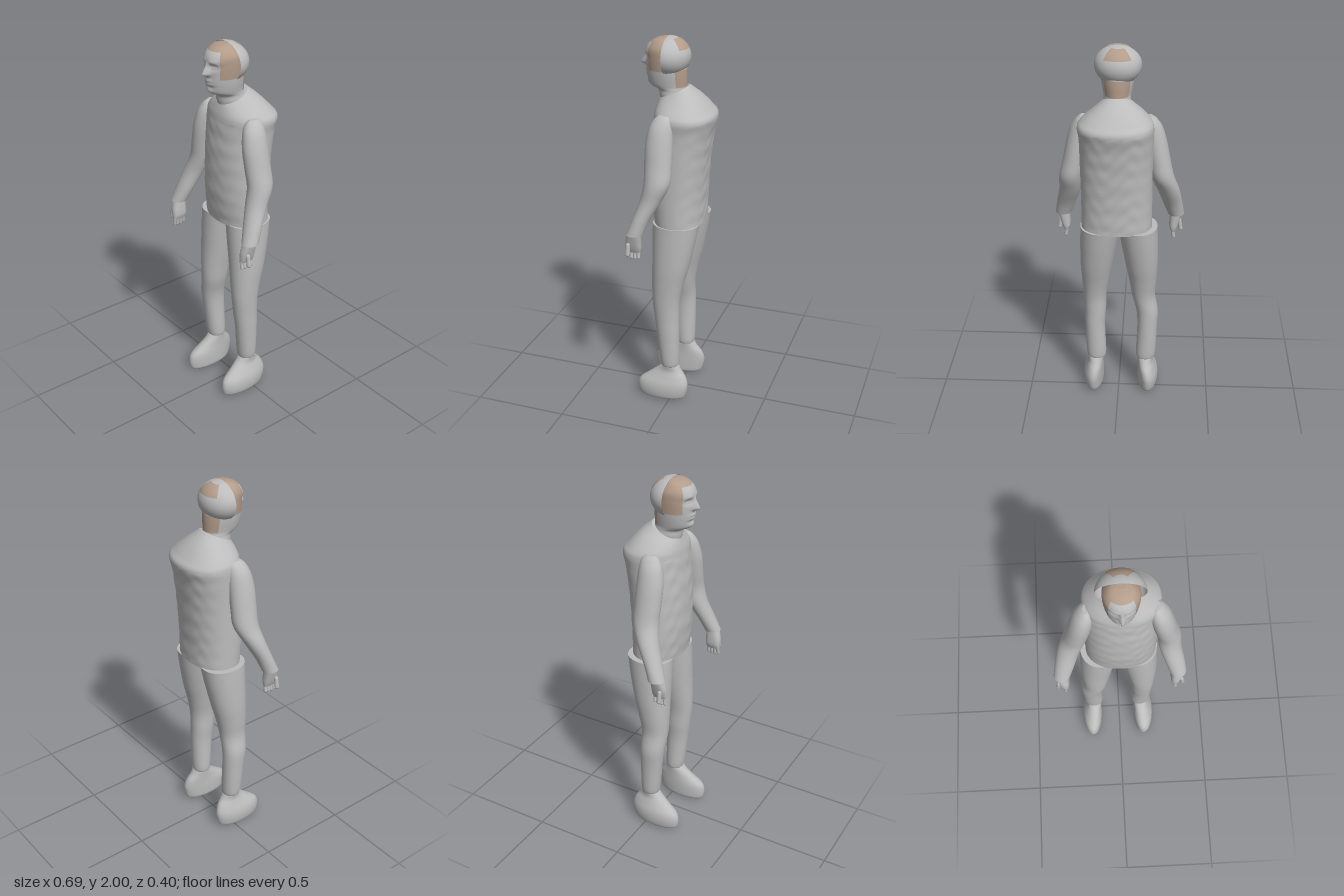
import * as THREE from 'three';

const grey = new THREE.MeshStandardMaterial({ color: 0xbcbcbc });
grey.name = 'plain grey';
const hairBrown = new THREE.MeshStandardMaterial({ color: 0xb39c8a });
hairBrown.name = 'hair brown';
const greyShell = new THREE.MeshStandardMaterial({ color: 0xbcbcbc, side: THREE.DoubleSide });
greyShell.name = 'shell grey';

const gauss = (d, w) => Math.exp(-(d * d) / (w * w));

function spline(a, b, c, d, t) {
  return b + 0.5 * t * (c - a + t * (2 * a - 5 * b + 4 * c - d + t * (3 * (b - c) + d - a)));
}

// Smooth skin over horizontal rings [y, x0, x1, zBack, zFront, tilt], listed bottom to top.
// warp(point, angle) shapes the surface, isHair(y, angle) picks the second material.
function loft(rings, { seg = 40, sub = 6, power = 2, warp, isHair } = {}) {
  const pos = [], body = [], hair = [], rows = [];
  const at = i => rings[Math.max(0, Math.min(rings.length - 1, i))];
  for (let i = 0; i < rings.length - 1; i++)
    for (let s = 0; s < sub; s++)
      rows.push([0, 1, 2, 3, 4, 5].map(k =>
        spline(at(i - 1)[k] || 0, at(i)[k] || 0, at(i + 1)[k] || 0, at(i + 2)[k] || 0, s / sub)));
  rows.push([0, 1, 2, 3, 4, 5].map(k => at(rings.length)[k] || 0));
  const angle = j => (j / seg) * Math.PI * 2;
  const bend = v => Math.sign(v) * Math.abs(v) ** (2 / power);
  rows.forEach(([y, x0, x1, z0, z1, tilt]) => {
    for (let j = 0; j < seg; j++) {
      const a = angle(j), s = bend(Math.sin(a)), c = bend(Math.cos(a));
      const p = new THREE.Vector3((x0 + x1) / 2 + (x1 - x0) / 2 * s, y - tilt * c, (z0 + z1) / 2 + (z1 - z0) / 2 * c);
      if (warp) warp(p, a);
      pos.push(p.x, p.y, p.z);
    }
  });
  for (let i = 0; i < rows.length - 1; i++)
    for (let j = 0; j < seg; j++) {
      const a = i * seg + j, b = i * seg + (j + 1) % seg;
      const list = isHair && isHair(rows[i][0], Math.PI - Math.abs(angle(j + 0.5) - Math.PI)) ? hair : body;
      list.push(a, b, b + seg, a, b + seg, a + seg);
    }
  // flat end caps with their own vertices
  for (const top of [false, true]) {
    const from = (top ? rows.length - 1 : 0) * seg, start = pos.length / 3;
    const r = rows[top ? rows.length - 1 : 0];
    pos.push(...pos.slice(from * 3, (from + seg) * 3), (r[1] + r[2]) / 2, r[0], (r[3] + r[4]) / 2);
    for (let j = 0; j < seg; j++) {
      const a = start + j, b = start + (j + 1) % seg;
      (top && isHair ? hair : body).push(start + seg, top ? a : b, top ? b : a);
    }
  }
  const g = new THREE.BufferGeometry();
  g.setAttribute('position', new THREE.Float32BufferAttribute(pos, 3));
  g.setIndex([...body, ...hair]);
  if (isHair) {
    g.addGroup(0, body.length, 0);
    g.addGroup(body.length, hair.length, 1);
  }
  g.computeVertexNormals();
  return g;
}

// Rings given for the +x side, mirrored for the other and moved by dx(y)
function sided(rings, s, dx) {
  return rings.map(([y, a, b, z0, z1]) =>
    s > 0 ? [y, a + dx(y), b + dx(y), z0, z1] : [y, dx(y) - b, dx(y) - a, z0, z1]);
}

export function createModel() {
  const model = new THREE.Group();
  model.name = 'standingMan';
  const add = (name, geometry, material = grey, parent = model) => {
    const m = new THREE.Mesh(geometry, material);
    m.name = name;
    parent.add(m);
    return m;
  };

  // Shirt with shallow creases
  add('torso', loft([
    [1.04, -0.175, 0.195, -0.145, 0.115], [1.2, -0.175, 0.195, -0.15, 0.13],
    [1.4, -0.175, 0.198, -0.165, 0.128], [1.54, -0.178, 0.2, -0.184, 0.118],
    [1.61, -0.178, 0.207, -0.198, 0.112], [1.645, -0.165, 0.188, -0.17, 0.108, 0.005],
    [1.69, -0.12, 0.135, -0.115, 0.1, 0.02], [1.725, -0.068, 0.085, -0.055, 0.094, 0.035],
  ], {
    seg: 72, sub: 10, power: 2.2,
    warp: (p, a) => {
      if (p.y < 1.06 || p.y > 1.6) return;
      p.z += 0.0025 * Math.sin(p.y * 62 + 2 * Math.sin(p.x * 30)) * Math.cos(p.x * 45 + p.y * 9) * Math.cos(a);
    },
  }));

  // Head and neck: nose, brow, eyes, lips and chin are pushed out of one skin
  const mid = 0.008;
  add('head', loft([
    [1.64, -0.04, 0.056, -0.04, 0.085], [1.7, -0.062, 0.078, -0.05, 0.098],
    [1.735, -0.06, 0.076, -0.045, 0.105], [1.752, -0.062, 0.078, -0.043, 0.14],
    [1.77, -0.066, 0.082, -0.043, 0.156], [1.81, -0.073, 0.089, -0.043, 0.164],
    [1.86, -0.078, 0.094, -0.04, 0.167], [1.9, -0.08, 0.096, -0.038, 0.168],
    [1.94, -0.078, 0.094, -0.03, 0.166], [1.97, -0.062, 0.078, 0, 0.145],
    [1.988, -0.042, 0.058, 0.025, 0.115], [1.996, -0.015, 0.031, 0.04, 0.08],
  ], {
    seg: 96, sub: 8,
    warp: p => {
      if (p.z < 0.08) return;
      const x = p.x - mid, e = Math.abs(x) - 0.034, y = p.y;
      const bridge = y > 1.862 ? Math.max(0, 1 - (y - 1.862) / 0.06) : gauss(y - 1.862, 0.013);
      p.z += 0.034 * bridge * gauss(x, 0.009 + 0.007 * bridge)
        + 0.005 * gauss(y - 1.922, 0.012) * gauss(e, 0.028)
        - 0.013 * gauss(y - 1.897, 0.014) * gauss(e, 0.02)
        + 0.007 * gauss(y - 1.895, 0.007) * gauss(e, 0.011)
        + 0.008 * (gauss(y - 1.826, 0.007) + gauss(y - 1.808, 0.007)) * gauss(x, 0.026)
        - 0.006 * gauss(y - 1.793, 0.009) * gauss(x, 0.03)
        + 0.006 * gauss(y - 1.768, 0.012) * gauss(x, 0.025);
    },
    isHair: (y, a) => y > 1.968 || (y > 1.83 && a > 0.8 && a < 2) || (y > 1.752 && y < 1.84 && a > 2.2),
  }), [grey, hairBrown]);

  // Half shell over the back of the head, with a brown patch at the crown
  const shell = (name, material, size, ...arc) => {
    const m = add(name, new THREE.SphereGeometry(1, 40, 24, ...arc), material);
    m.scale.set(0.119 * size, 0.1 * size, 0.113 * size);
    m.position.set(0.006, 1.9, 0.055);
  };
  shell('headShell', greyShell, 1, Math.PI, Math.PI);
  shell('crownPatch', hairBrown, 1.006, Math.PI * 1.28, Math.PI * 0.44, 0.42, 0.7);

  for (const s of [1, -1]) {
    const side = s > 0 ? 'left' : 'right';

    // Sleeve
    add(side + 'Arm', loft(sided([
      [1.045, 0.26, 0.346, 0.092, 0.18], [1.12, 0.234, 0.335, 0.062, 0.152],
      [1.22, 0.202, 0.316, 0.008, 0.118], [1.31, 0.178, 0.298, -0.034, 0.1],
      [1.4, 0.16, 0.278, -0.038, 0.102], [1.5, 0.142, 0.258, -0.036, 0.103],
      [1.58, 0.132, 0.235, -0.032, 0.09], [1.625, 0.137, 0.208, -0.025, 0.068],
      [1.645, 0.155, 0.185, -0.005, 0.045],
    ], s, y => y > 1.3 ? 0.012 : 0)));

    // Hand with four fingers and a thumb
    const hand = new THREE.Group();
    hand.name = side + 'Hand';
    model.add(hand);
    add('palm', loft(sided([
      [0.94, 0.276, 0.302, 0.112, 0.186], [0.965, 0.268, 0.312, 0.106, 0.188],
      [1.0, 0.268, 0.322, 0.105, 0.186], [1.05, 0.272, 0.334, 0.104, 0.172],
    ], s, () => 0), { seg: 24, power: 2.6 }), grey, hand);
    for (let i = 0; i < 4; i++) {
      const f = add('finger', new THREE.CapsuleGeometry(0.0095, 0.04, 4, 10), grey, hand);
      f.position.set(s * 0.289, 0.932 - 0.004 * Math.sin(i), 0.121 + i * 0.019);
      f.rotation.z = s * 0.15;
    }
    const thumb = add('thumb', new THREE.CapsuleGeometry(0.0115, 0.05, 4, 10), grey, hand);
    thumb.position.set(s * 0.326, 0.963, 0.165);
    thumb.rotation.z = s * 0.15;

    // Trouser leg
    const shift = y => y < 0.55 ? -0.013 : -0.002;
    add(side + 'Leg', loft(sided([
      [0.2, 0.094, 0.178, -0.032, 0.052], [0.23, 0.084, 0.192, -0.04, 0.062],
      [0.4, 0.09, 0.2, -0.042, 0.08], [0.5, 0.084, 0.203, -0.042, 0.092],
      [0.6, 0.07, 0.197, -0.045, 0.102], [0.7, 0.054, 0.203, -0.064, 0.105],
      [0.8, 0.036, 0.208, -0.09, 0.105], [0.93, 0.014, 0.207, -0.118, 0.106],
      [1.045, -0.004, 0.203, -0.138, 0.106],
    ], s, shift), { power: 2.1 }));

    // Shoe with a flat sole
    add(side + 'Shoe', loft(sided([
      [0.005, 0.112, 0.19, -0.06, 0.172], [0.02, 0.1, 0.205, -0.08, 0.185],
      [0.06, 0.097, 0.211, -0.092, 0.19], [0.1, 0.097, 0.207, -0.095, 0.178],
      [0.14, 0.098, 0.193, -0.082, 0.128], [0.175, 0.097, 0.182, -0.055, 0.083],
      [0.205, 0.095, 0.184, -0.036, 0.052],
    ], s, () => -0.01)));
  }

  return model;
}
